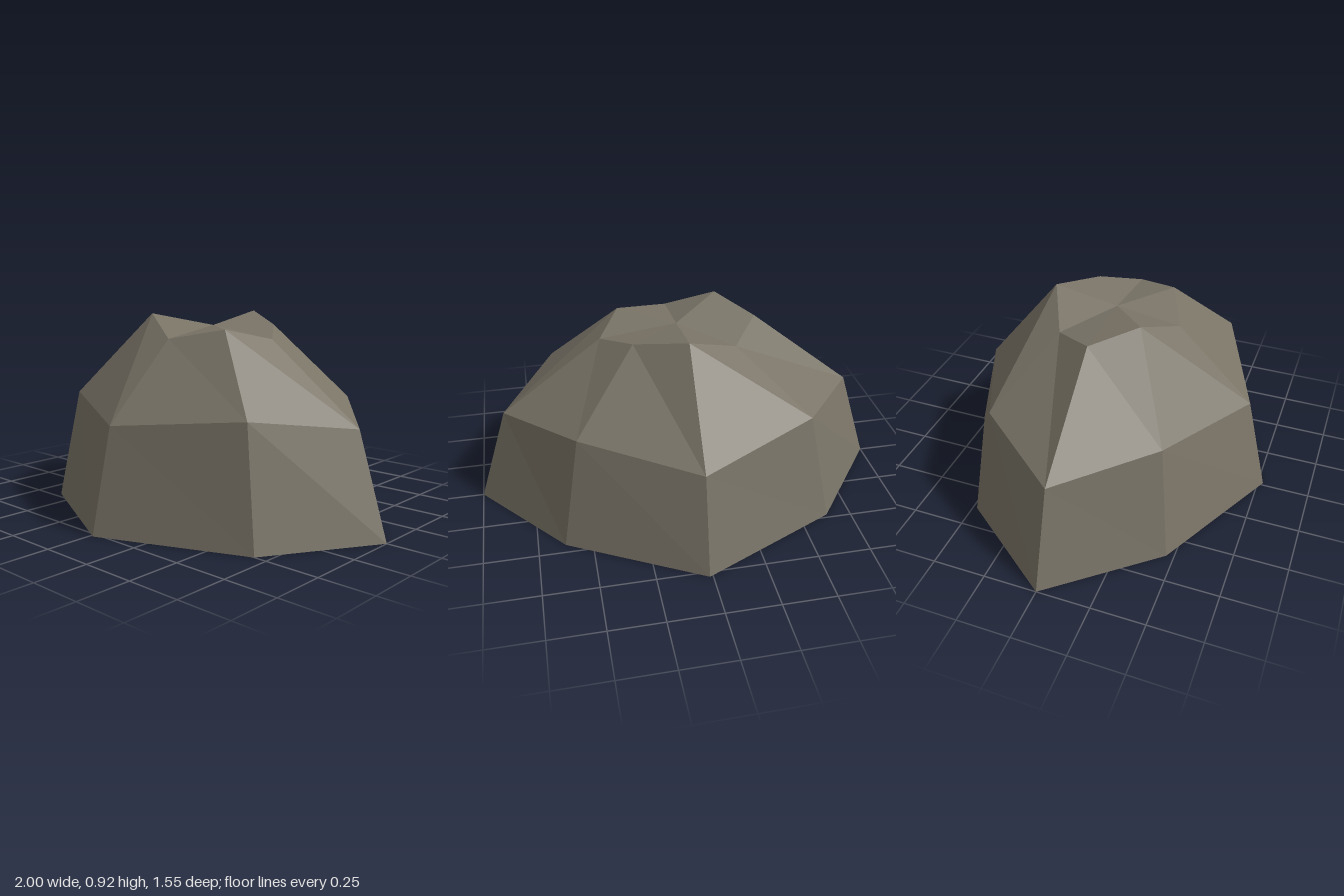
import * as THREE from 'three';

// Cross-sections from the ground up, eight corners each, going from +x round by +z
const RINGS = [
  // footprint
  [[1, 0, 0], [0.69, 0, 0.5], [0.015, 0, 0.775], [-0.61, 0, 0.465],
    [-1, 0, 0], [-0.635, 0, -0.48], [0.015, 0, -0.78], [0.625, 0, -0.45]],
  // shoulder
  [[0.85, 0.47, 0], [0.59, 0.53, 0.43], [0.015, 0.47, 0.665], [-0.52, 0.53, 0.4],
    [-0.85, 0.47, 0], [-0.54, 0.53, -0.41], [0.015, 0.47, -0.665], [0.535, 0.53, -0.385]],
  // jagged rim
  [[0.375, 0.82, 0], [0.265, 0.87, 0.2], [0.015, 0.82, 0.305], [-0.21, 0.92, 0.19],
    [-0.36, 0.87, 0], [-0.225, 0.82, -0.19], [0.015, 0.92, -0.305], [0.245, 0.87, -0.175]],
];
const HOLLOW = [0.015, 0.865, 0]; // centre of the top

function facetedMesh(name, triangles, material) {
  const geometry = new THREE.BufferGeometry();
  geometry.setAttribute('position', new THREE.Float32BufferAttribute(triangles.flat(2), 3));
  geometry.computeVertexNormals();
  const mesh = new THREE.Mesh(geometry, material);
  mesh.name = name;
  return mesh;
}

// Wall of facets between two cross-sections
function band(low, high) {
  return low.flatMap((a, i) => {
    const j = (i + 1) % low.length;
    return [[a, high[i], high[j]], [a, high[j], low[j]]];
  });
}

export function createModel() {
  const stone = new THREE.MeshStandardMaterial({
    color: 0x7a7467, flatShading: true, side: THREE.DoubleSide,
  });
  stone.name = 'stone';

  const rock = new THREE.Group();
  rock.name = 'rock';
  const [foot, shoulder, rim] = RINGS;

  // Open-bottomed shell: steep base, sloping upper sides and a dented top
  rock.add(facetedMesh('baseWall', band(foot, shoulder), stone));
  rock.add(facetedMesh('upperSlope', band(shoulder, rim), stone));
  const fan = rim.map((p, i) => [HOLLOW, rim[(i + 1) % rim.length], p]);
  rock.add(facetedMesh('dentedTop', fan, stone));
  return rock;
}
